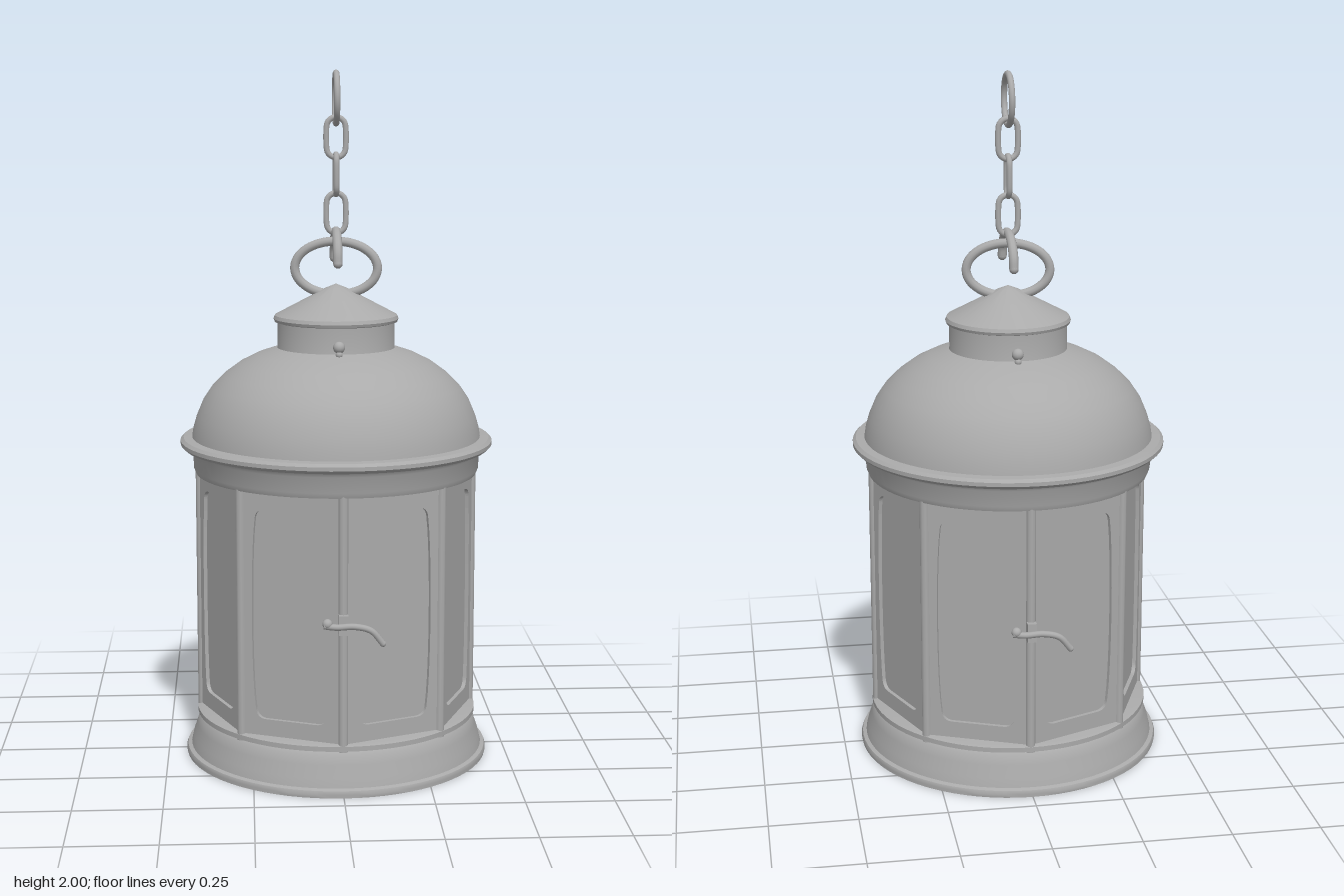
import * as THREE from 'three';
import { toCreasedNormals } from 'three/addons/utils/BufferGeometryUtils.js';

const metal = new THREE.MeshStandardMaterial({ color: 0xaaaaaa });
metal.name = 'grey metal';

const SIDES = 8;
const RADIUS = 0.405; // octagon corner radius
const APOTHEM = RADIUS * Math.cos(Math.PI / SIDES);
const FACE = 2 * RADIUS * Math.sin(Math.PI / SIDES);

function add(parent, name, geometry, x = 0, y = 0, z = 0) {
  const mesh = new THREE.Mesh(geometry, metal);
  mesh.name = name;
  mesh.position.set(x, y, z);
  parent.add(mesh);
  return mesh;
}

// Turned part; the profile runs from bottom to top
function turned(parent, name, profile) {
  const points = profile.map(([r, y]) => new THREE.Vector2(r, y));
  return add(parent, name, toCreasedNormals(new THREE.LatheGeometry(points, 72), 0.6));
}

function tube(parent, name, points, radius, closed = false, segments = 40) {
  const curve = new THREE.CatmullRomCurve3(points.map((p) => new THREE.Vector3(...p)), closed);
  return add(parent, name, new THREE.TubeGeometry(curve, segments, radius, 10, closed));
}

// Rounded window outline whose sides bow out slightly
function windowOutline(path) {
  const w = 0.104, bow = 0.121, b = 0.19, t = 0.8, c = 0.03;
  path.moveTo(-w + c, b);
  path.lineTo(w - c, b);
  path.quadraticCurveTo(w, b, w + 0.003, b + c);
  path.bezierCurveTo(bow, b + 0.13, bow, t - 0.13, w + 0.003, t - c);
  path.quadraticCurveTo(w, t - 0.004, w - c, t - 0.003);
  path.quadraticCurveTo(0, t + 0.006, -w + c, t - 0.003);
  path.quadraticCurveTo(-w, t - 0.004, -w - 0.003, t - c);
  path.bezierCurveTo(-bow, t - 0.13, -bow, b + 0.13, -w - 0.003, b + c);
  path.quadraticCurveTo(-w, b, -w + c, b);
  return path;
}

function buildWalls(parent) {
  const outline = new THREE.Shape();
  outline.moveTo(-FACE / 2, 0.12);
  outline.lineTo(FACE / 2, 0.12);
  outline.lineTo(FACE / 2, 0.87);
  outline.lineTo(-FACE / 2, 0.87);
  outline.closePath();
  outline.holes.push(windowOutline(new THREE.Path()));
  const frame = new THREE.ExtrudeGeometry(outline, { depth: 0.02, bevelEnabled: false, curveSegments: 10 });
  const pane = new THREE.BoxGeometry(FACE - 0.03, 0.68, 0.006);
  const post = new THREE.CylinderGeometry(0.014, 0.014, 0.74, 10);

  for (let i = 0; i < SIDES; i++) {
    const side = new THREE.Group();
    side.name = 'wallSide';
    side.rotation.y = ((i + 0.5) * 2 * Math.PI) / SIDES;
    parent.add(side);
    add(side, 'windowFrame', frame, 0, 0, APOTHEM - 0.02);
    add(side, 'windowPane', pane, 0, 0.495, APOTHEM - 0.014);
    const a = (i * 2 * Math.PI) / SIDES;
    const r = RADIUS - 0.007;
    add(parent, 'cornerPost', post, Math.sin(a) * r, 0.49, Math.cos(a) * r);
  }
}

// Door latch and neck rivet, repeated front and back
function buildFittings(parent, angle) {
  const g = new THREE.Group();
  g.name = 'fittings';
  g.rotation.y = angle;
  parent.add(g);
  add(g, 'latchPlate', new THREE.BoxGeometry(0.026, 0.055, 0.03), 0, 0.49, 0.41);
  tube(g, 'latchLever', [[-0.055, 0.492, 0.428], [-0.02, 0.488, 0.43], [0.03, 0.49, 0.432],
    [0.075, 0.478, 0.432], [0.108, 0.44, 0.428]], 0.009);
  add(g, 'latchPin', new THREE.SphereGeometry(0.014, 14, 10), -0.045, 0.497, 0.426);
  add(g, 'latchEnd', new THREE.SphereGeometry(0.009, 12, 8), 0.108, 0.44, 0.428);
  add(g, 'neckRivet', new THREE.SphereGeometry(0.017, 14, 10), 0, 1.228, 0.172);
  add(g, 'neckRivetDrop', new THREE.SphereGeometry(0.01, 12, 8), 0, 1.208, 0.178);
}

// Stadium-shaped chain link
function chainLink(parent, y, angle) {
  const pts = [];
  for (let i = 0; i < 16; i++) {
    const a = ((i + 0.5) / 16) * 2 * Math.PI;
    pts.push([Math.cos(a) * 0.027, Math.sin(a) * 0.027 + Math.sign(Math.sin(a)) * 0.03, 0]);
  }
  const link = tube(parent, 'chainLink', pts, 0.0085, true, 48);
  link.position.y = y;
  link.rotation.y = angle;
}

export function createModel() {
  const model = new THREE.Group();
  model.name = 'lantern';

  turned(model, 'base', [[0, 0], [0.445, 0], [0.447, 0.01], [0.443, 0.02], [0.432, 0.024],
    [0.426, 0.05], [0.414, 0.085], [0.408, 0.112], [0.398, 0.122], [0.412, 0.124],
    [0.412, 0.138], [0.4, 0.142], [0, 0.142]]);

  buildWalls(model);

  turned(model, 'roof', [[0, 0.845], [0.41, 0.845], [0.416, 0.86], [0.418, 0.905], [0.425, 0.916],
    [0.445, 0.92], [0.454, 0.929], [0.454, 0.94], [0.445, 0.948], [0.42, 0.95], [0.416, 0.975],
    [0.406, 1.01], [0.387, 1.055], [0.36, 1.095], [0.325, 1.13], [0.28, 1.163],
    [0.23, 1.188], [0.17, 1.208]]);
  turned(model, 'neck', [[0.174, 1.195], [0.17, 1.21], [0.17, 1.285]]);
  turned(model, 'cap', [[0.165, 1.28], [0.178, 1.284], [0.181, 1.292], [0.177, 1.302],
    [0.09, 1.348], [0.03, 1.38], [0, 1.392]]);

  buildFittings(model, 0);
  buildFittings(model, Math.PI);

  // Oval handle through the cap, slightly turned
  const oval = [];
  for (let i = 0; i < 16; i++) {
    const a = (i / 16) * 2 * Math.PI;
    oval.push([Math.cos(a) * 0.12, 1.437 + Math.sin(a) * 0.077, 0]);
  }
  tube(model, 'handle', oval, 0.0135, true, 64).rotation.y = -0.13;

  // Open hook crossing the handle
  const hook = [];
  for (let i = 0; i <= 10; i++) {
    const a = (i / 10) * Math.PI;
    hook.push([0, 1.458 + Math.sin(a) * 0.085, Math.cos(a) * 0.105]);
  }
  tube(model, 'hook', hook, 0.0135);
  for (const s of [-1, 1]) {
    add(model, 'hookEnd', new THREE.SphereGeometry(0.0135, 12, 8), 0, 1.458, s * 0.105);
  }

  chainLink(model, 1.595, 0);
  chainLink(model, 1.705, Math.PI / 2);
  chainLink(model, 1.81, 0);

  const ring = add(model, 'topRing', new THREE.TorusGeometry(0.071, 0.009, 10, 48), 0, 1.92, 0);
  ring.rotation.y = Math.PI / 2;

  return model;
}
